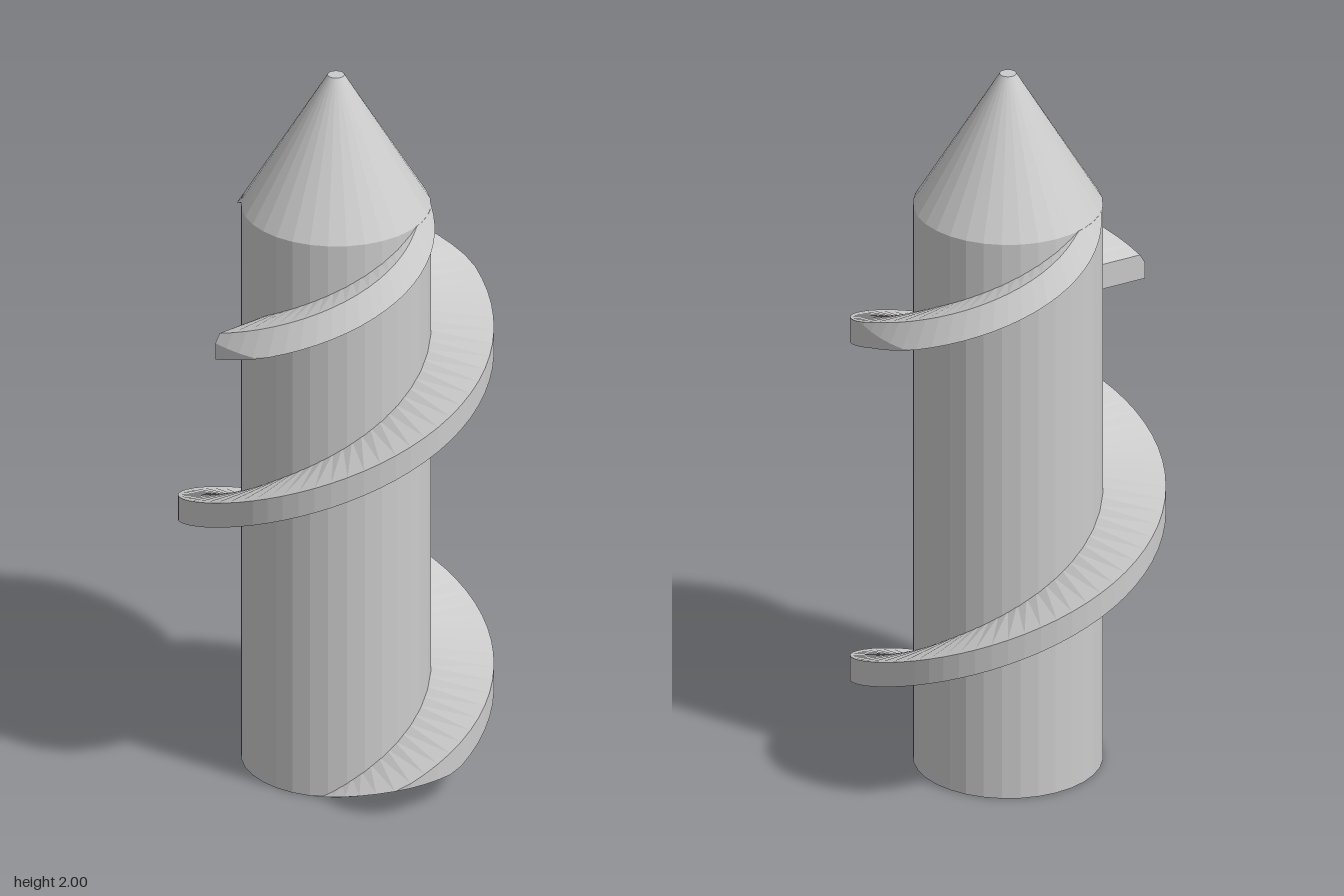
import * as THREE from 'three';

const material = new THREE.MeshStandardMaterial({ color: 0xcccccc, flatShading: true, side: THREE.DoubleSide });
const SHAFT_R = 0.25, FIN_R = 0.415, SHOULDER = 1.62, HEIGHT = 2, THICKNESS = 0.072;
const LOW_BREAK = 0.085, HIGH_BREAK = 1.345, TAIL = 450;

// Outer radius of the thread: full width, bevelled at the base, tapering with the tip cone
const rimRadius = (y) => Math.min(
  FIN_R,
  SHAFT_R + (FIN_R - SHAFT_R) * y / LOW_BREAK,
  SHAFT_R + (FIN_R - SHAFT_R) * (SHOULDER - y) / (SHOULDER - HIGH_BREAK));

// Height of the thread underside; angle in degrees from the front, pitch shortens in the tail
const underside = (deg) => 0.06 + 0.99 * Math.min(deg, TAIL) / 360 + 0.84 * Math.max(deg - TAIL, 0) / 360;

// Cross-section of the thread as [radius, height] pairs
function section(deg) {
  const low = THREE.MathUtils.clamp(underside(deg), 0.002, SHOULDER);
  const high = THREE.MathUtils.clamp(underside(deg) + THICKNESS, 0.002, SHOULDER);
  const ys = [low, THREE.MathUtils.clamp(LOW_BREAK, low, high), THREE.MathUtils.clamp(HIGH_BREAK, low, high), high];
  return [[0.235, low], ...ys.map((y) => [rimRadius(y), y]), [0.235, high]];
}

// Sweep the cross-section around the shaft
function threadGeometry(from, to, step) {
  const positions = [], index = [];
  const rows = Math.round((to - from) / step), n = 6;
  for (let i = 0; i <= rows; i++) {
    const deg = from + (to - from) * i / rows;
    const a = THREE.MathUtils.degToRad(deg);
    for (const [r, y] of section(deg)) positions.push(r * Math.sin(a), y, r * Math.cos(a));
  }
  for (let i = 0; i < rows; i++) {
    for (let k = 0; k < n; k++) {
      const a = i * n + k, d = i * n + (k + 1) % n;
      index.push(a, a + n, d + n, a, d + n, d);
    }
  }
  // End caps
  const last = rows * n;
  for (let k = 1; k < n - 1; k++) index.push(0, k, k + 1, last, last + k + 1, last + k);
  const geometry = new THREE.BufferGeometry();
  geometry.setAttribute('position', new THREE.Float32BufferAttribute(positions, 3));
  geometry.setIndex(index);
  const flat = geometry.toNonIndexed();
  flat.computeVertexNormals();
  return flat;
}

export function createModel() {
  const group = new THREE.Group();
  const add = (name, geometry) => {
    const mesh = new THREE.Mesh(geometry, material);
    mesh.name = name;
    group.add(mesh);
    return mesh;
  };

  // Straight shaft and conical tip with a small flat end
  add('shaft', new THREE.CylinderGeometry(SHAFT_R, SHAFT_R, SHOULDER, 32)).position.y = SHOULDER / 2;
  add('tip', new THREE.CylinderGeometry(0.022, SHAFT_R, HEIGHT - SHOULDER, 32, 1)).position.y = (SHOULDER + HEIGHT) / 2;

  // Main thread, and a short second thread opposite its tail
  add('mainThread', threadGeometry(-54, 588, 6));
  add('secondThread', threadGeometry(TAIL, 588, 6)).rotation.y = Math.PI;
  return group;
}
